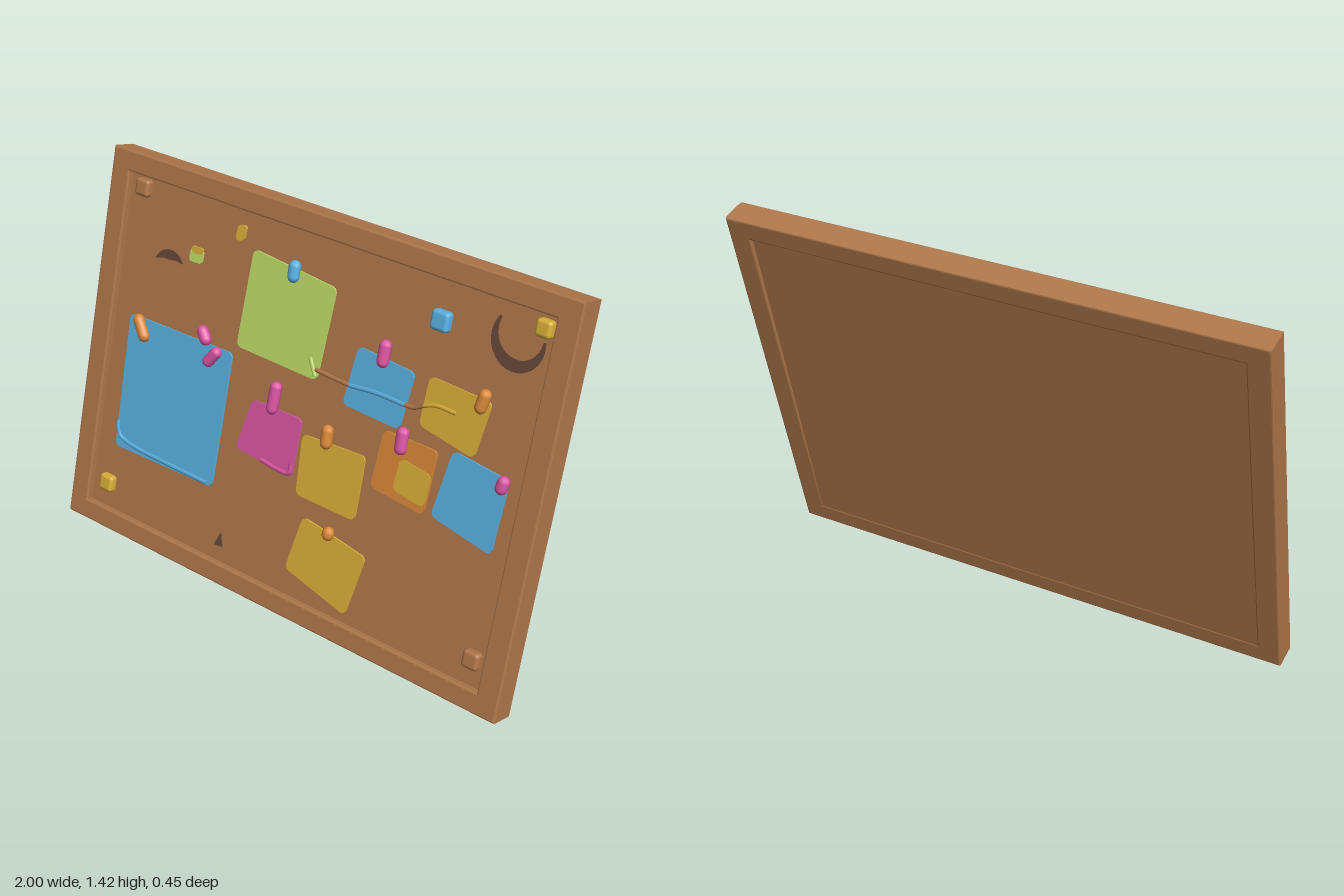
import * as THREE from 'three';
import { RoundedBoxGeometry } from 'three/addons/geometries/RoundedBoxGeometry.js';

const TILT = 0.247;      // lean backwards
const MID = 0.715;       // height of the board's centre
const FACE = 0.022;      // front of the cork panel, in board space

const colour = (name, hex) => {
  const m = new THREE.MeshStandardMaterial({ color: hex });
  m.name = name;
  return m;
};

export function createModel() {
  const wood = colour('wood brown', 0xb0784b);
  const dark = colour('dark brown', 0x66473a);
  const blue = colour('sky blue', 0x5ab0e0);
  const lime = colour('lime', 0xbedc68);
  const pink = colour('pink', 0xdb55a2);
  const yellow = colour('mustard yellow', 0xd9af38);
  const orange = colour('orange', 0xd98838);

  const model = new THREE.Group();
  model.name = 'noticeBoard';
  const board = new THREE.Group();
  board.name = 'leaningBoard';
  board.position.y = MID;
  board.rotation.x = -TILT;
  model.add(board);

  const add = (name, geometry, material) => {
    const mesh = new THREE.Mesh(geometry, material);
    mesh.name = name;
    board.add(mesh);
    return mesh;
  };
  // turns a height above the floor into a distance along the leaning board
  const along = (y, w = FACE) => (y - MID - w * Math.sin(TILT)) / Math.cos(TILT);
  const at = ([x, y]) => new THREE.Vector2(x, along(y));

  // Frame with a rectangular opening
  const rect = (path, w, h) => {
    path.moveTo(-w, -h); path.lineTo(w, -h); path.lineTo(w, h); path.lineTo(-w, h); path.closePath();
    return path;
  };
  const frameShape = rect(new THREE.Shape(), 1, 0.7225);
  frameShape.holes.push(rect(new THREE.Path(), 0.915, 0.647));
  const frame = new THREE.ExtrudeGeometry(frameShape, {
    depth: 0.088, bevelThickness: 0.006, bevelSize: 0.006, bevelOffset: -0.006, bevelSegments: 2,
  });
  frame.translate(0, 0, -0.044);
  add('frame', frame, wood);

  // Cork panel, its back sinking slightly towards the top
  const panel = new THREE.BoxGeometry(1.85, 1.31, 0.07);
  const p = panel.attributes.position;
  for (let i = 0; i < p.count; i++) {
    p.setZ(i, p.getZ(i) > 0 ? FACE : p.getY(i) > 0 ? -0.036 : -0.0485);
  }
  panel.computeVertexNormals();
  add('corkPanel', panel, wood);

  // Flat plate on the panel
  const plate = (name, shape, material, lift = 0) => {
    const g = new THREE.ExtrudeGeometry(shape, { depth: 0.007, bevelEnabled: false, curveSegments: 8 });
    add(name, g, material).position.z = FACE + lift;
  };

  // Sheet of paper from four corners, with softened corners
  const paper = (name, material, corners, lift = 0, r = 0.025) => {
    const c = corners.map(at);
    const shape = new THREE.Shape();
    c.forEach((q, i) => {
      const toward = (o) => o.clone().sub(q).setLength(r).add(q);
      const a = toward(c[(i + 3) % 4]), b = toward(c[(i + 1) % 4]);
      if (i) shape.lineTo(a.x, a.y); else shape.moveTo(a.x, a.y);
      shape.quadraticCurveTo(q.x, q.y, b.x, b.y);
    });
    shape.closePath();
    plate(name, shape, material, lift);
  };
  paper('limeNote', lime, [[-0.305, 1.228], [0.07, 1.195], [0.05, 0.87], [-0.318, 0.88]]);
  paper('largeBlueSheet', blue, [[-0.835, 0.845], [-0.33, 0.848], [-0.333, 0.348], [-0.825, 0.34]]);
  paper('pinkNote', pink, [[-0.21, 0.72], [0.018, 0.722], [0.012, 0.508], [-0.252, 0.528]]);
  paper('upperYellowNote', yellow, [[0.03, 0.675], [0.305, 0.688], [0.305, 0.458], [0.043, 0.46]]);
  paper('lowerYellowNote', yellow, [[0.092, 0.395], [0.378, 0.352], [0.335, 0.122], [0.05, 0.188]]);
  paper('smallBlueNote', blue, [[0.198, 1.038], [0.437, 1.02], [0.415, 0.82], [0.173, 0.83]]);
  paper('rightYellowNote', yellow, [[0.495, 1.03], [0.743, 1.02], [0.715, 0.825], [0.488, 0.862]]);
  paper('orangeNote', orange, [[0.358, 0.802], [0.58, 0.802], [0.57, 0.578], [0.343, 0.596]]);
  paper('yellowPatch', yellow, [[0.445, 0.735], [0.575, 0.718], [0.568, 0.603], [0.433, 0.62]], 0.003);
  paper('rightBlueNote', blue, [[0.635, 0.825], [0.86, 0.802], [0.848, 0.545], [0.598, 0.588]]);
  paper('yellowScrap', yellow, [[-0.39, 1.29], [-0.35, 1.295], [-0.355, 1.24], [-0.395, 1.235]], 0, 0.015);
  paper('limeScrap', lime, [[-0.59, 1.155], [-0.53, 1.16], [-0.53, 1.11], [-0.592, 1.108]], 0, 0.015);
  paper('yellowScrapCorner', yellow, [[-0.585, 1.165], [-0.53, 1.165], [-0.535, 1.143], [-0.58, 1.14]], 0.002, 0.01);

  // Curled paper edges and the low crease crossing the upper notes
  const ridge = (name, material, points, radius) => {
    const curve = new THREE.CatmullRomCurve3(points.map((q) => {
      const v = at(q);
      return new THREE.Vector3(v.x, v.y, FACE + 0.006);
    }));
    add(name, new THREE.TubeGeometry(curve, 16, radius, 6), material);
  };
  ridge('sheetCurl', blue, [[-0.825, 0.44], [-0.815, 0.39], [-0.75, 0.368], [-0.58, 0.36], [-0.36, 0.356]], 0.009);
  ridge('noteCurl', pink, [[-0.13, 0.526], [-0.05, 0.518], [0.0, 0.522], [0.004, 0.56]], 0.009);
  ridge('limeCurl', lime, [[0.01, 0.94], [0.03, 0.905], [0.042, 0.885]], 0.008);
  ridge('corkCrease', wood, [[0.04, 0.908], [0.11, 0.903], [0.19, 0.9]], 0.008);
  ridge('blueCrease', blue, [[0.19, 0.9], [0.3, 0.91], [0.42, 0.908]], 0.009);
  ridge('corkCreaseEnd', wood, [[0.42, 0.908], [0.46, 0.912], [0.495, 0.93]], 0.008);
  ridge('yellowCrease', yellow, [[0.495, 0.93], [0.54, 0.945], [0.62, 0.945]], 0.008);

  // Pins: short capsules from one point to another
  const pin = (name, material, from, to, r = 0.022) => {
    const a = at(from), b = at(to), d = b.clone().sub(a);
    const g = new THREE.CapsuleGeometry(r, Math.max(d.length() - 2 * r, 0.004), 4, 10);
    const m = add(name, g, material);
    m.position.set((a.x + b.x) / 2, (a.y + b.y) / 2, FACE + 0.015);
    m.rotation.z = Math.atan2(-d.x, d.y);
  };
  [
    [blue, [-0.11, 1.165], [-0.112, 1.242]],
    [pink, [0.31, 1.0], [0.31, 1.095]],
    [orange, [0.705, 0.975], [0.72, 1.058]],
    [pink, [-0.442, 0.845], [-0.485, 0.905]],
    [pink, [-0.44, 0.775], [-0.385, 0.848]],
    [orange, [-0.735, 0.768], [-0.795, 0.855]],
    [pink, [-0.112, 0.7], [-0.108, 0.818]],
    [orange, [0.142, 0.66], [0.138, 0.745]],
    [pink, [0.442, 0.745], [0.438, 0.84]],
    [pink, [0.838, 0.752], [0.848, 0.815]],
    [orange, [0.215, 0.355], [0.215, 0.405]],
  ].forEach(([m, a, b], i) => pin('pin' + (i + 1), m, a, b));

  // Square studs
  [
    ['blueStud', blue, 0.5, 1.218, 0.07], ['topRightStud', yellow, 0.873, 1.305, 0.06],
    ['bottomLeftStud', yellow, -0.835, 0.19, 0.065], ['topLeftStud', wood, -0.847, 1.308, 0.065],
    ['bottomRightStud', wood, 0.862, 0.19, 0.065],
  ].forEach(([name, m, x, y, s]) => {
    add(name, new RoundedBoxGeometry(s, s, 0.05, 2, 0.014), m).position.set(x, along(y, 0.035), 0.025);
  });

  // Dark stains: tapering crescents and a small chip
  const crescent = (name, x, y, r, start, end, width) => {
    const outer = [], inner = [], n = 20;
    for (let i = 0; i <= n; i++) {
      const t = i / n, a = start + (end - start) * t, w = width * (0.2 + 0.8 * Math.sin(Math.PI * t));
      const c = Math.cos(a), s = Math.sin(a);
      outer.push(at([x + r * c, y + r * s]));
      inner.unshift(at([x + (r - w) * c, y + (r - w) * s]));
    }
    plate(name, new THREE.Shape([...outer, ...inner]), dark, -0.004);
  };
  crescent('ringStain', 0.785, 1.235, 0.1, 2.5, 6.5, 0.042);
  crescent('curvedStain', -0.685, 1.045, 0.075, 0.6, 2.7, 0.036);
  plate('chip', new THREE.Shape([[-0.285, 0.145], [-0.245, 0.15], [-0.262, 0.2]].map(at)), dark, -0.004);

  return model;
}
